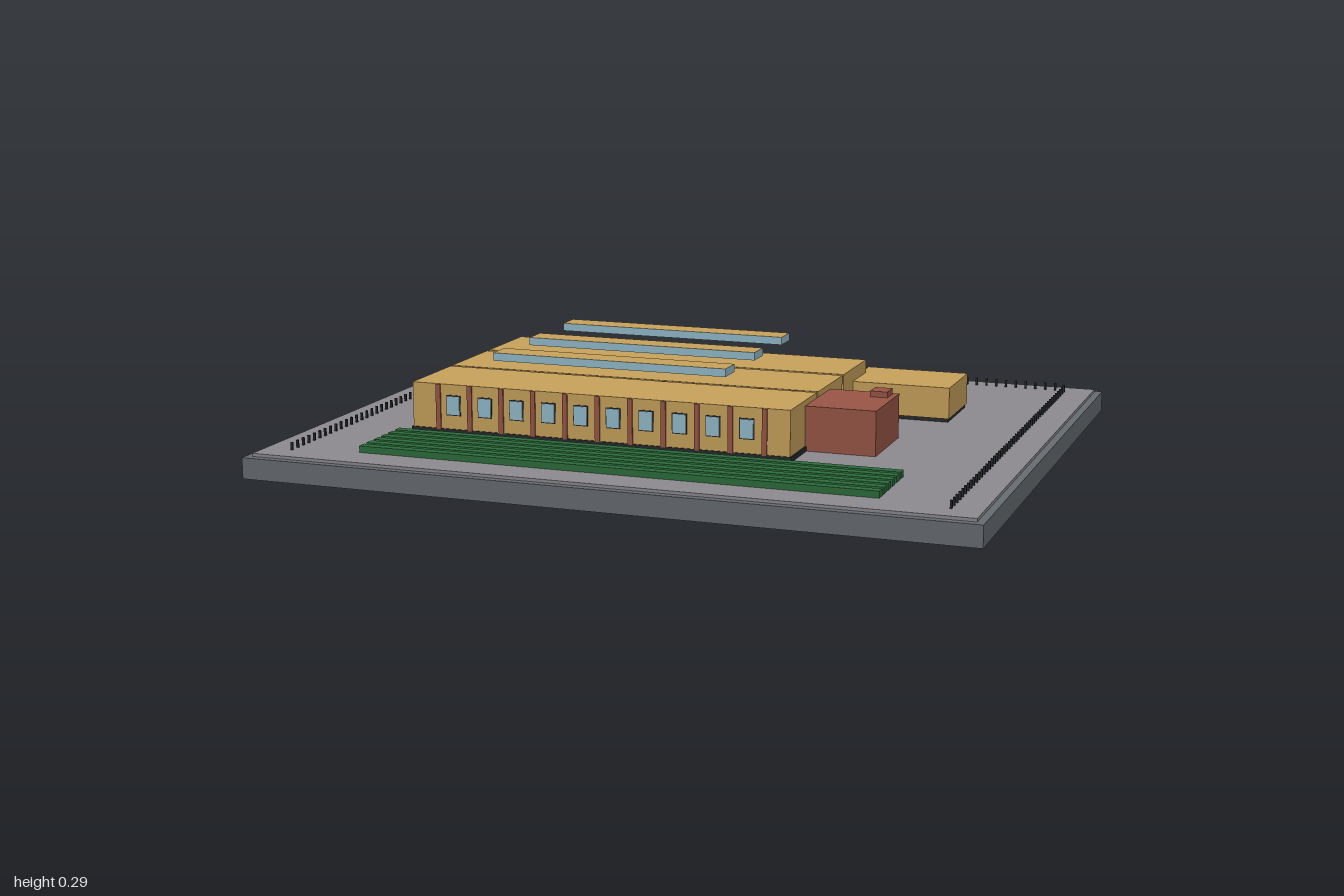
import * as THREE from 'three';

const mat = (name, color, side = THREE.FrontSide) => {
  const m = new THREE.MeshStandardMaterial({ color, side });
  m.name = name;
  return m;
};

export function createModel() {
  const model = new THREE.Group();
  model.name = 'greenhouseCampus';
  const slate = mat('slate', 0x666b70, THREE.DoubleSide);
  const paving = mat('paving', 0x8b898d);
  const tan = mat('tan', 0xc6a05b);
  const brick = mat('brick', 0x985546);
  const glass = mat('glass', 0x92bbcc);
  const green = mat('green', 0x2b6b3b);
  const dark = mat('dark', 0x26282a);

  // Box given by its limits along each axis
  const box = (name, material, [x0, x1], [y0, y1], [z0, z1], parent = model) => {
    const mesh = new THREE.Mesh(new THREE.BoxGeometry(x1 - x0, y1 - y0, z1 - z0), material);
    mesh.position.set((x0 + x1) / 2, (y0 + y1) / 2, (z0 + z1) / 2);
    mesh.name = name;
    parent.add(mesh);
    return mesh;
  };
  const group = (name) => {
    const g = new THREE.Group();
    g.name = name;
    model.add(g);
    return g;
  };

  // Hollow base, open at the bottom
  const baseGeo = new THREE.BoxGeometry(2, 0.058, 1.62);
  const index = Array.from(baseGeo.index.array);
  index.splice(18, 6);
  baseGeo.setIndex(index);
  baseGeo.clearGroups();
  const base = new THREE.Mesh(baseGeo, slate);
  base.position.y = 0.029;
  base.name = 'base';
  model.add(base);
  box('pavedGround', paving, [-0.98, 0.98], [0.0585, 0.067], [-0.79, 0.79]);

  // Brick pilasters with a window between each pair
  const facade = (z, dir) => {
    const g = group('facade');
    const out = (d) => (dir > 0 ? [z, z + d] : [z - d, z]);
    for (let i = 0; i < 11; i++) {
      const x = -0.622 + i * 0.0945;
      box('pilaster', brick, [x - 0.007, x + 0.007], [0.078, 0.204], out(0.004), g);
      if (i === 10) continue;
      const w = x + 0.0455;
      box('windowFrame', dark, [w - 0.021, w + 0.021], [0.118, 0.175], out(0.002), g);
      box('window', glass, [w - 0.0185, w + 0.0185], [0.121, 0.172], out(0.004), g);
    }
  };

  // Three long halls, each with a raised roof light
  const halls = [[0.163, 0.4], [-0.083, 0.151], [-0.328, -0.097]];
  halls.forEach(([z0, z1], i) => {
    box('hallPlinth', dark, [-0.704, 0.398], [0.067, 0.08], [z0 - 0.003, z1 + 0.003]);
    box('hall', tan, [-0.7, 0.393], [0.08, 0.205], [z0, z1]);
    const z = 0.286 - i * 0.245;
    box('roofLight', [glass, glass, tan, glass, glass, glass],
      [-0.49, 0.187], [0.264, 0.286], [z - 0.037, z + 0.037]);
  });
  facade(0.4, 1);
  facade(0.151, 1);
  facade(-0.328, -1);

  // Brick annex with a small rooftop unit
  box('brickAnnex', brick, [0.393, 0.588], [0.067, 0.19], [0.033, 0.27]);
  box('rooftopUnit', brick, [0.523, 0.572], [0.19, 0.206], [0.043, 0.098]);

  // Tan annex with a wide glazed back
  box('annexPlinth', dark, [0.385, 0.67], [0.067, 0.078], [-0.41, -0.2]);
  box('tanAnnex', tan, [0.378, 0.674], [0.078, 0.167], [-0.415, -0.193]);
  box('annexGlazingFrame', dark, [0.392, 0.66], [0.081, 0.155], [-0.417, -0.415]);
  box('annexGlazing', glass, [0.397, 0.655], [0.084, 0.152], [-0.419, -0.415]);

  // Planted rows in front and behind
  const rows = (count, x, zStart, step) => {
    const g = group('plantedRows');
    for (let i = 0; i < count; i++) {
      const z = zStart + i * step;
      box('plantedRow', green, x, [0.067, 0.085], [z - 0.0135, z + 0.0135], g);
    }
  };
  rows(6, [-0.717, 0.712], 0.467, 0.041);
  rows(7, [-0.755, 0.226], -0.664, 0.041);

  // Low boundary posts
  const posts = group('boundaryPosts');
  const post = (x, z) =>
    box('post', dark, [x - 0.003, x + 0.003], [0.067, 0.088], [z - 0.003, z + 0.003], posts);
  for (let z = -0.72; z < 0.73; z += 0.03) {
    post(-0.9, z);
    post(0.9, z);
  }
  for (let x = -0.87; x < 0.88; x += 0.03) {
    if (x < -0.2 || x > 0.3) post(x, -0.74);
  }
  return model;
}
